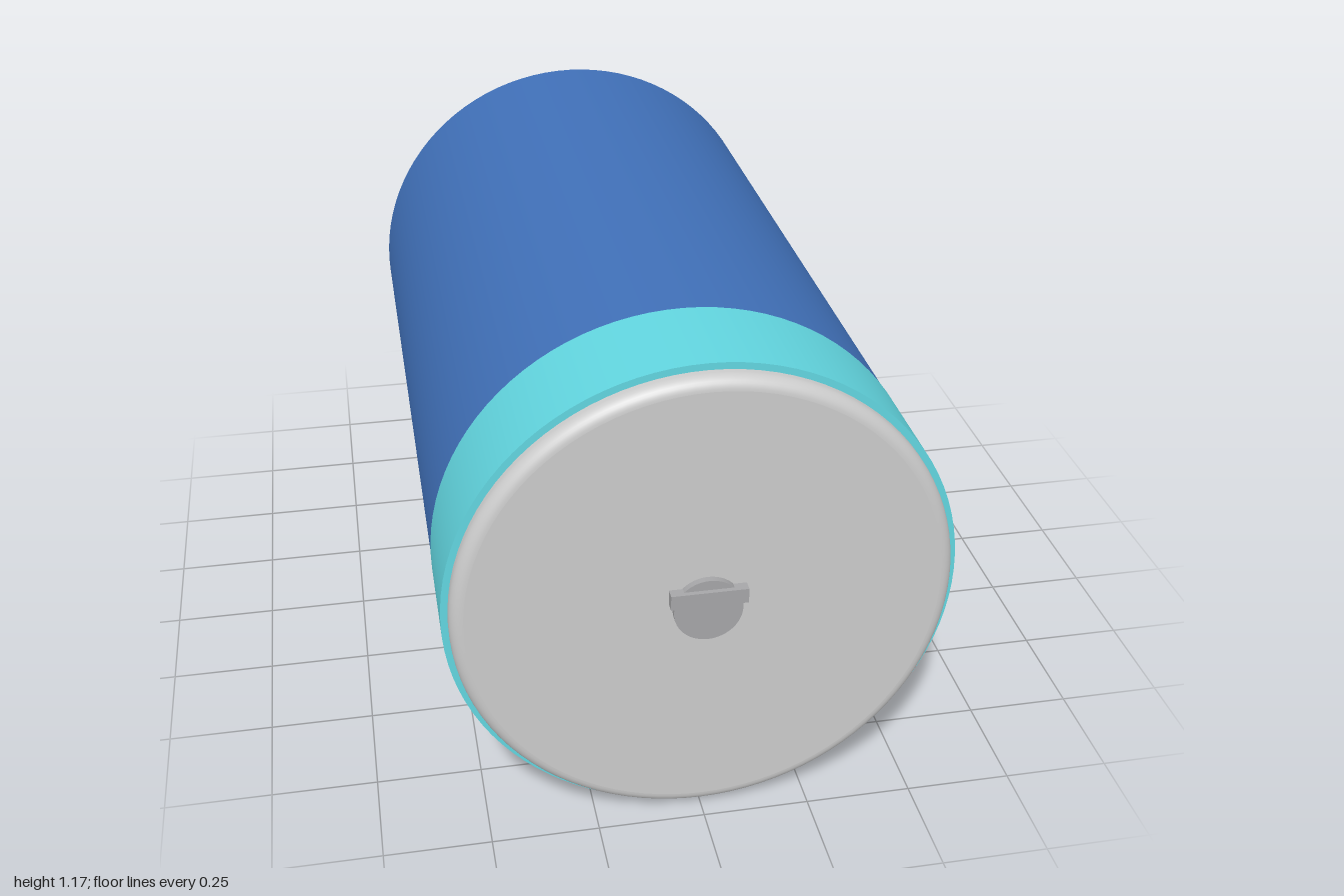
import * as THREE from 'three';

const R = 0.583; // outer radius, also the height of the axis

export function createModel() {
  const group = new THREE.Group();
  const axis = new THREE.Group();
  axis.name = 'canister';
  axis.position.y = R;
  group.add(axis);

  const mat = (color) => new THREE.MeshStandardMaterial({ color });
  const blue = mat(0x4070b8);
  const teal = mat(0x62d6e0);
  const grey = mat(0xcccccc);
  const darkGrey = mat(0xa6a6a8);

  const add = (name, geometry, material) => {
    const mesh = new THREE.Mesh(geometry, material);
    mesh.name = name;
    axis.add(mesh);
    return mesh;
  };
  // closed disc or drum along z between two depths
  const drum = (name, radius, z0, z1, material, sides = 96) =>
    add(name, new THREE.CylinderGeometry(radius, radius, z1 - z0, sides)
      .rotateX(Math.PI / 2).translate(0, 0, (z0 + z1) / 2), material);

  // main barrel and the collar round its front end
  drum('body', R - 0.002, -1, 0.67, blue);
  drum('collar', R, 0.67, 0.932, teal);

  // lid with a rounded front rim
  const lidR = 0.567, lidZ = 0.973, r = 0.03;
  const profile = [new THREE.Vector2(lidR, 0.93)];
  for (let i = 0; i <= 8; i++) {
    const a = (i / 8) * Math.PI / 2;
    profile.push(new THREE.Vector2(lidR - r + r * Math.cos(a), lidZ - r + r * Math.sin(a)));
  }
  add('lidRim', new THREE.LatheGeometry(profile, 96).rotateX(Math.PI / 2), grey);
  add('lidFace', new THREE.CircleGeometry(lidR - r, 96).translate(0, 0, lidZ), grey);

  // central knob with a grip bar set above its middle
  drum('knob', 0.078, lidZ - 0.005, 0.989, darkGrey, 48);
  add('gripBar', new THREE.BoxGeometry(0.174, 0.036, 0.025), darkGrey)
    .position.set(0, 0.036, 0.9875);

  return group;
}
